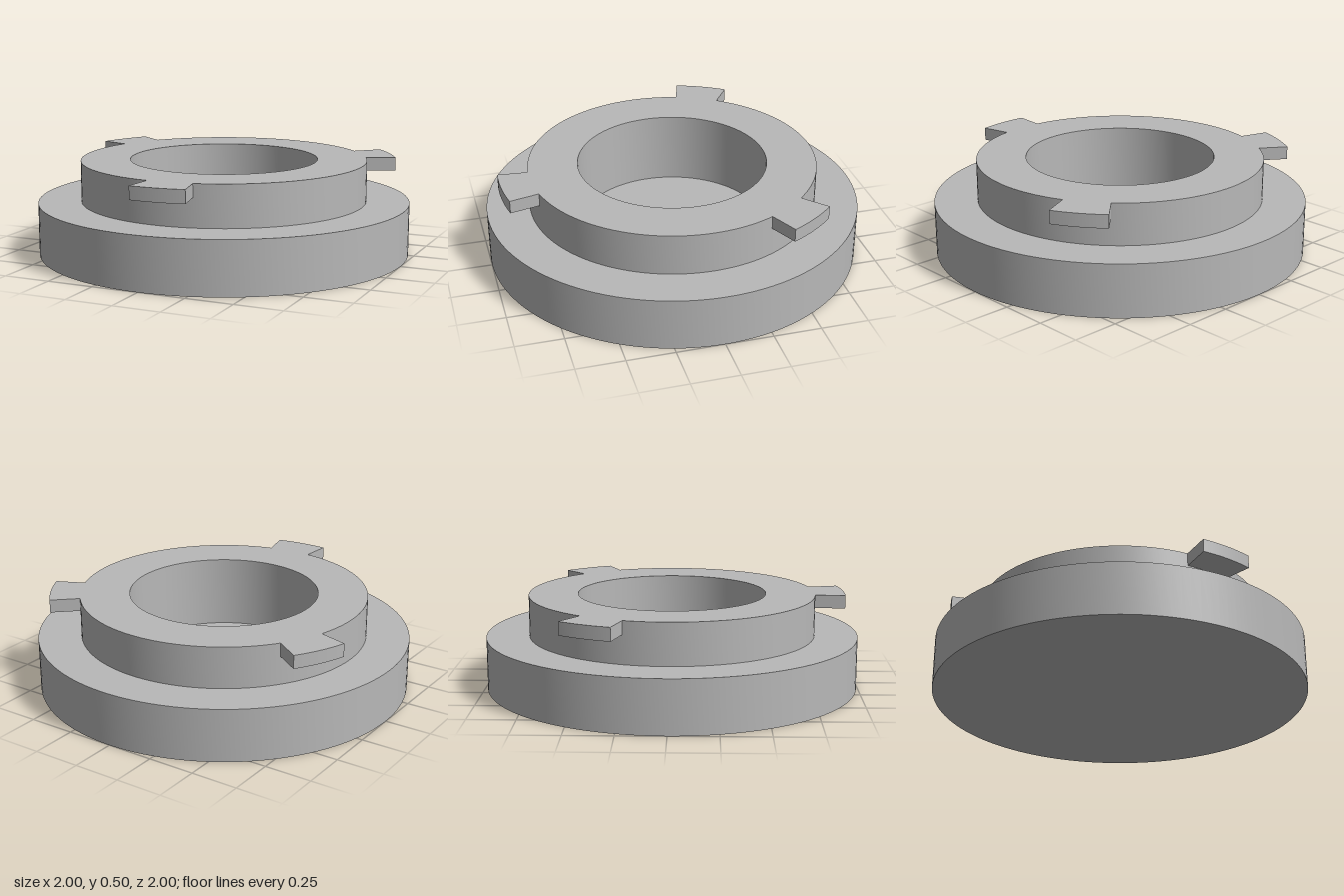
import * as THREE from 'three';
import { toCreasedNormals } from 'three/addons/utils/BufferGeometryUtils.js';

const BASE_R = 1, BASE_TOP = 0.28;
const COLLAR_R = 0.77, TOP = 0.5;
const BORE_R = 0.505, FLOOR = 0.11;
const TAB_R = 0.93, TAB_H = 0.07;

export function createModel() {
  const group = new THREE.Group();
  const grey = new THREE.MeshStandardMaterial({ color: 0xb8b8b8 });
  grey.name = 'grey';

  const add = (name, geometry) => {
    const mesh = new THREE.Mesh(toCreasedNormals(geometry, 0.5), grey);
    mesh.name = name;
    group.add(mesh);
    return mesh;
  };

  // Turned body: wide base, narrower collar and a blind bore
  const profile = [
    [0, 0], [BASE_R, 0], [BASE_R, BASE_TOP], [COLLAR_R, BASE_TOP],
    [COLLAR_R, TOP], [BORE_R, TOP], [BORE_R, FLOOR], [0, FLOOR],
  ].map(([r, y]) => new THREE.Vector2(r, y));
  add('body', new THREE.LatheGeometry(profile, 128));

  // Three locking tabs around the collar's top edge, 18 degrees wide each
  const half = THREE.MathUtils.degToRad(9);
  const sector = new THREE.Shape();
  sector.absarc(0, 0, TAB_R, -Math.PI / 2 - half, -Math.PI / 2 + half, false);
  sector.absarc(0, 0, COLLAR_R - 0.004, -Math.PI / 2 + half, -Math.PI / 2 - half, true);
  const tab = new THREE.ExtrudeGeometry(sector, { depth: TAB_H, bevelEnabled: false, curveSegments: 10 });
  tab.rotateX(-Math.PI / 2);
  for (let i = 0; i < 3; i++) {
    const mesh = add('lockingTab' + (i + 1), tab);
    mesh.position.y = TOP - TAB_H;
    mesh.rotation.y = THREE.MathUtils.degToRad(4.1 + 120 * i);
  }
  return group;
}
